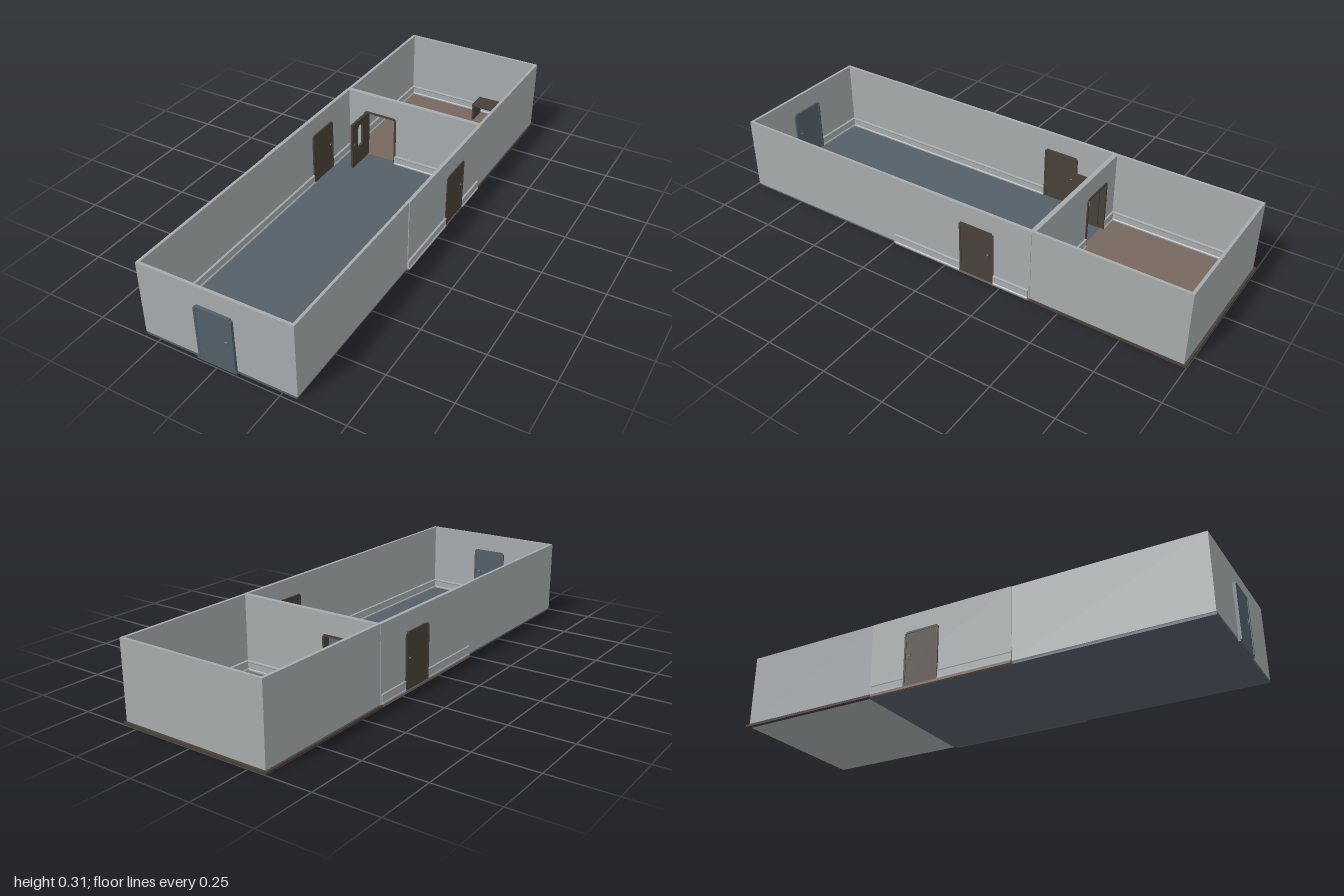
import * as THREE from 'three';

const mat = (name, color) => {
  const m = new THREE.MeshStandardMaterial({ color });
  m.name = name;
  return m;
};

export function createModel() {
  const model = new THREE.Group();
  model.name = 'twoRoomHouse';
  const wall = mat('wall grey', 0xa6aaac);
  const blue = mat('slate blue', 0x535f68);
  const brown = mat('floor brown', 0x77675e);
  const dark = mat('dark wood', 0x494038);
  const metal = mat('handle grey', 0x8b8f92);

  const add = (parent, name, geometry, material) => {
    const mesh = new THREE.Mesh(geometry, material);
    mesh.name = name;
    parent.add(mesh);
    return mesh;
  };
  // Box given by its limits on each axis
  const box = (parent, name, material, x0, x1, y0, y1, z0, z1) => {
    const g = new THREE.BoxGeometry(x1 - x0, y1 - y0, z1 - z0);
    g.translate((x0 + x1) / 2, (y0 + y1) / 2, (z0 + z1) / 2);
    return add(parent, name, g, material);
  };
  const poly = (pts) => pts.map(([x, y]) => new THREE.Vector2(x, y));
  const extrude = (shape, depth) => new THREE.ExtrudeGeometry(shape, { depth, bevelEnabled: false });

  // Floors
  const BASE = 0.01, TOP = 0.312;
  box(model, 'frontFloor', blue, -0.308, 0.306, 0, BASE, -0.385, 0.985);
  box(model, 'frontDoorSill', blue, -0.085, 0.075, 0, BASE, 0.985, 0.994);
  box(model, 'rearFloor', brown, -0.305, 0.3, 0.003, BASE, -0.985, -0.385);
  box(model, 'rearUnderside', wall, -0.305, 0.3, 0, 0.003, -0.985, -0.385);
  box(model, 'rearFloorEdgeLeft', dark, 0.3, 0.315, 0, BASE, -1, -0.375);
  box(model, 'rearFloorEdgeRight', dark, -0.323, -0.305, 0, BASE, -1, -0.375);
  box(model, 'rearFloorEdgeBack', dark, -0.305, 0.3, 0, BASE, -1, -0.985);
  box(model, 'sideSillRight', brown, -0.322, -0.308, 0, BASE, -0.375, 0.24);
  box(model, 'sideSillLeft', brown, 0.306, 0.315, 0, BASE, -0.375, 0.24);

  // Outer walls; the middle stretch stands slightly proud
  const stretches = [
    ['front', 0.24, 0.985, 0], ['middle', -0.38, 0.24, 0.003], ['rear', -0.99, -0.38, 0.001],
  ];
  for (const [name, z0, z1, out] of stretches) {
    box(model, name + 'WallLeft', wall, 0.298, 0.309 + out, BASE, TOP, z0, z1);
    box(model, name + 'WallRight', wall, -0.3, -0.312 - out, BASE, TOP, z0, z1).geometry =
      new THREE.BoxGeometry(0.012 + out, TOP - BASE, z1 - z0)
        .translate(-0.306 - out / 2, (TOP + BASE) / 2, (z0 + z1) / 2);
  }
  box(model, 'frontWall', wall, -0.3, 0.298, BASE, TOP, 0.973, 0.985);
  box(model, 'backWall', wall, -0.3, 0.298, BASE, TOP, -0.99, -0.978);

  // Partition with doorway
  const DX0 = -0.222, DX1 = -0.075;
  const partition = extrude(new THREE.Shape(poly([
    [-0.3, BASE], [DX0, BASE], [DX0, 0.228], [DX1, 0.228], [DX1, BASE],
    [0.298, BASE], [0.298, TOP], [-0.3, TOP],
  ])), 0.02);
  add(model, 'partitionWall', partition.translate(0, 0, -0.393), wall);

  // Door frame with clipped upper corners, open at the bottom
  const frameShape = (w, h, t) => new THREE.Shape(poly([
    [-w, 0], [-w + t, 0], [-w + t, h - t], [w - t, h - t], [w - t, 0], [w, 0],
    [w, h - 0.007], [w - 0.007, h - 0.007], [w - 0.007, h], [-w + 0.007, h],
    [-w + 0.007, h - 0.007], [-w, h - 0.007],
  ]));
  const addHandle = (door, x, y, half) => {
    for (const s of [1, -1]) {
      const z = s * half;
      box(door, 'handlePlate', door.userData.paint, x - 0.007, x + 0.007, y - 0.013, y + 0.013, z - 0.0015, z + 0.0015);
      const knob = new THREE.CylinderGeometry(0.003, 0.003, 0.006, 10).rotateX(Math.PI / 2);
      add(door, 'knob', knob.translate(x, y + 0.004, z), metal);
      box(door, 'lever', metal, x - 0.006, x + 0.003, y + 0.003, y + 0.005, z + s * 0.002 - 0.001, z + s * 0.002 + 0.001);
    }
  };
  const closedDoor = (name, material, depth, handleX) => {
    const door = new THREE.Group();
    door.name = name;
    door.userData.paint = material;
    add(door, 'doorFrame', extrude(frameShape(0.0755, 0.227, 0.008), depth).translate(0, 0, -depth / 2), material);
    const half = depth / 2 - 0.002;
    box(door, 'doorLeaf', material, -0.0675, 0.0675, 0, 0.219, -half, half);
    addHandle(door, handleX, 0.12, half);
    model.add(door);
    return door;
  };
  closedDoor('frontDoor', blue, 0.032, 0.05).position.set(-0.001, BASE, 0.981);
  const doorL = closedDoor('leftSideDoor', dark, 0.024, 0.052);
  doorL.position.set(0.304, BASE, -0.147);
  doorL.rotation.y = Math.PI / 2;
  const doorR = closedDoor('rightSideDoor', dark, 0.028, -0.052);
  doorR.position.set(-0.307, BASE, -0.147);
  doorR.rotation.y = -Math.PI / 2;

  // Inner doorway and its open, glazed-style leaf
  const cx = (DX0 + DX1) / 2;
  add(model, 'innerDoorFrame', extrude(frameShape(0.0765, 0.222, 0.008), 0.03).translate(cx, BASE, -0.398), dark);
  const leaf = new THREE.Group();
  leaf.name = 'openInnerDoor';
  leaf.userData.paint = dark;
  const leafShape = new THREE.Shape(poly([[0, 0], [0.125, 0], [0.125, 0.212], [0, 0.212]]));
  leafShape.holes.push(new THREE.Path(poly([[0.038, 0.08], [0.038, 0.17], [0.048, 0.185], [0.07, 0.185], [0.08, 0.17], [0.08, 0.08]])));
  add(leaf, 'innerDoorLeaf', extrude(leafShape, 0.01).translate(0, 0, -0.005), dark);
  addHandle(leaf, 0.11, 0.105, 0.005);
  leaf.position.set(-0.217, BASE + 0.002, -0.372);
  leaf.rotation.y = -Math.PI / 2;
  model.add(leaf);

  // Skirting boards: a moulded profile run from one point to another
  const skirting = (name, x0, z0, x1, z1, scale = 1) => {
    const profile = new THREE.Shape(poly([
      [0, 0], [0.01, 0], [0.01, 0.005], [0.006, 0.008], [0.006, 0.031], [0.008, 0.034], [0.008, 0.038], [0, 0.04],
    ].map(([d, y]) => [d * scale, y])));
    const g = extrude(profile, Math.hypot(x1 - x0, z1 - z0));
    g.rotateY(Math.atan2(x1 - x0, z1 - z0)).translate(x0, BASE, z0);
    add(model, name, g, wall);
  };
  const L = 0.298, R = -0.3, S0 = -0.2225, S1 = -0.0715;
  // Front room
  skirting('skirtingRight', R, S1, R, 0.973);
  skirting('skirtingRight', R, -0.373, R, S0);
  skirting('skirtingLeft', L, 0.973, L, S1);
  skirting('skirtingLeft', L, S0, L, -0.373);
  skirting('skirtingFront', R, 0.973, -0.077, 0.973);
  skirting('skirtingFront', 0.075, 0.973, L, 0.973);
  skirting('skirtingPartition', L, -0.373, DX1, -0.373);
  skirting('skirtingPartition', DX0, -0.373, R, -0.373);
  // Rear room
  skirting('skirtingRearRight', R, -0.978, R, -0.393);
  skirting('skirtingRearLeft', L, -0.393, L, -0.978);
  skirting('skirtingBack', L, -0.978, R, -0.978);
  skirting('skirtingRearPartition', DX1, -0.393, L, -0.393);
  skirting('skirtingRearPartition', R, -0.393, DX0, -0.393);
  // Outside, either side of the side doors
  for (const [a, b] of [[-0.373, S0], [S1, 0.24]]) {
    skirting('outerSkirtingLeft', 0.312, a, 0.312, b, 0.9);
    skirting('outerSkirtingRight', -0.315, b, -0.315, a, 0.6);
  }

  // Desk in the rear room
  const desk = new THREE.Group();
  desk.name = 'desk';
  box(desk, 'deskTop', dark, 0.055, 0.285, 0.082, 0.09, -0.968, -0.88);
  box(desk, 'deskBack', dark, 0.063, 0.277, 0.045, 0.082, -0.964, -0.958);
  for (const x of [0.057, 0.275]) box(desk, 'deskSide', dark, x, x + 0.008, BASE, 0.082, -0.966, -0.882);
  model.add(desk);

  return model;
}
